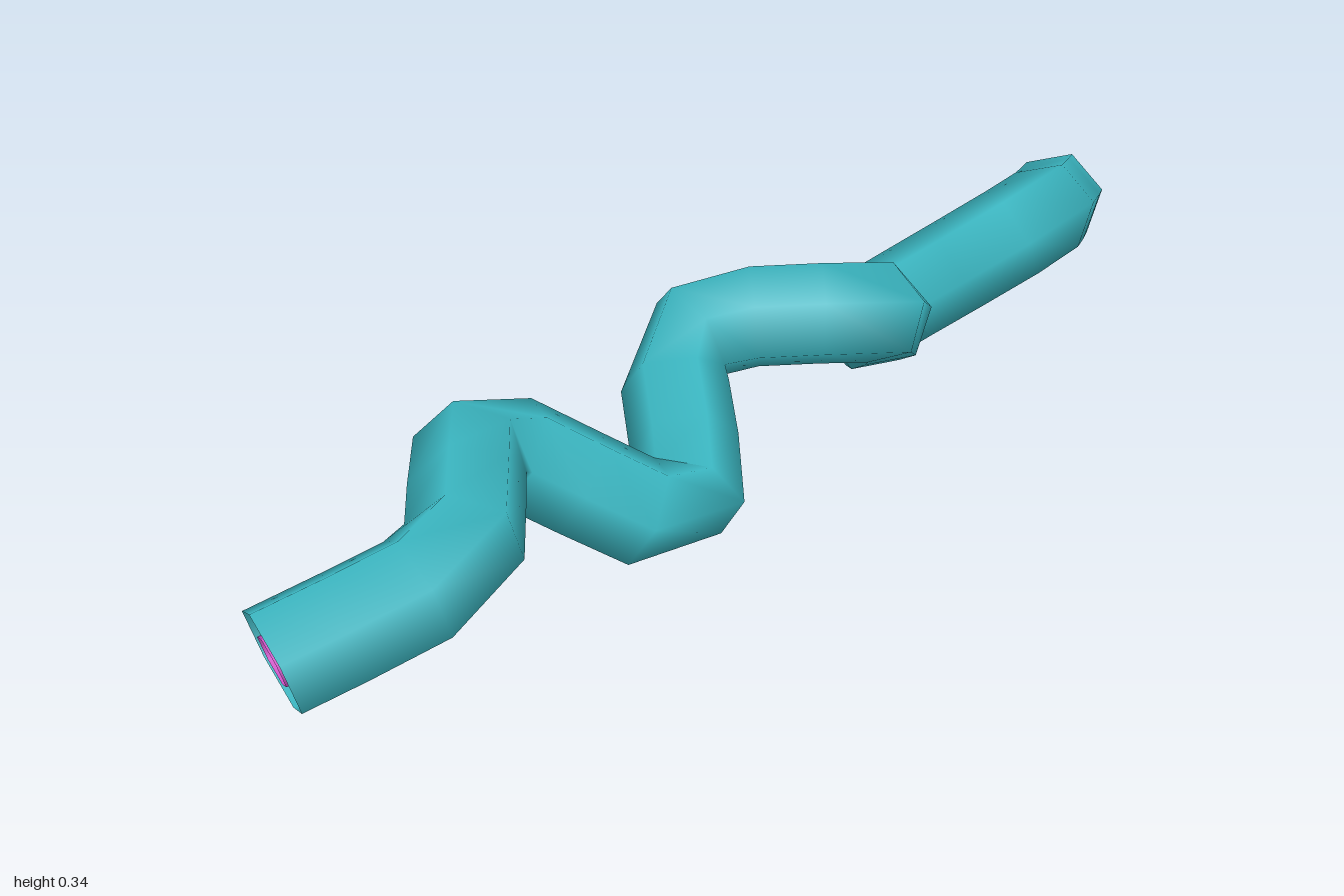
import * as THREE from 'three';

export function createModel() {
  const group = new THREE.Group();

  // Twisting centre line, from front to back
  const path = new THREE.CatmullRomCurve3([
    [-0.01, 0.17, 0.965],
    [0.09, 0.245, 0.72],
    [-0.085, 0.26, 0.48],
    [0.09, 0.095, 0.24],
    [-0.1, 0.24, 0],
    [0.1, 0.25, -0.25],
    [-0.09, 0.09, -0.48],
    [0.09, 0.245, -0.72],
    [-0.01, 0.175, -0.965],
  ].map((p) => new THREE.Vector3(...p)));

  // Open six-sided tube along the centre line
  const addTube = (name, radius, color) => {
    const mesh = new THREE.Mesh(
      new THREE.TubeGeometry(path, 24, radius, 6, false),
      new THREE.MeshStandardMaterial({ color, side: THREE.DoubleSide })
    );
    mesh.name = name;
    group.add(mesh);
  };

  addTube('outerTube', 0.086, 0x3ab5c0);
  addTube('innerTube', 0.042, 0xd050c8);

  return group;
}
